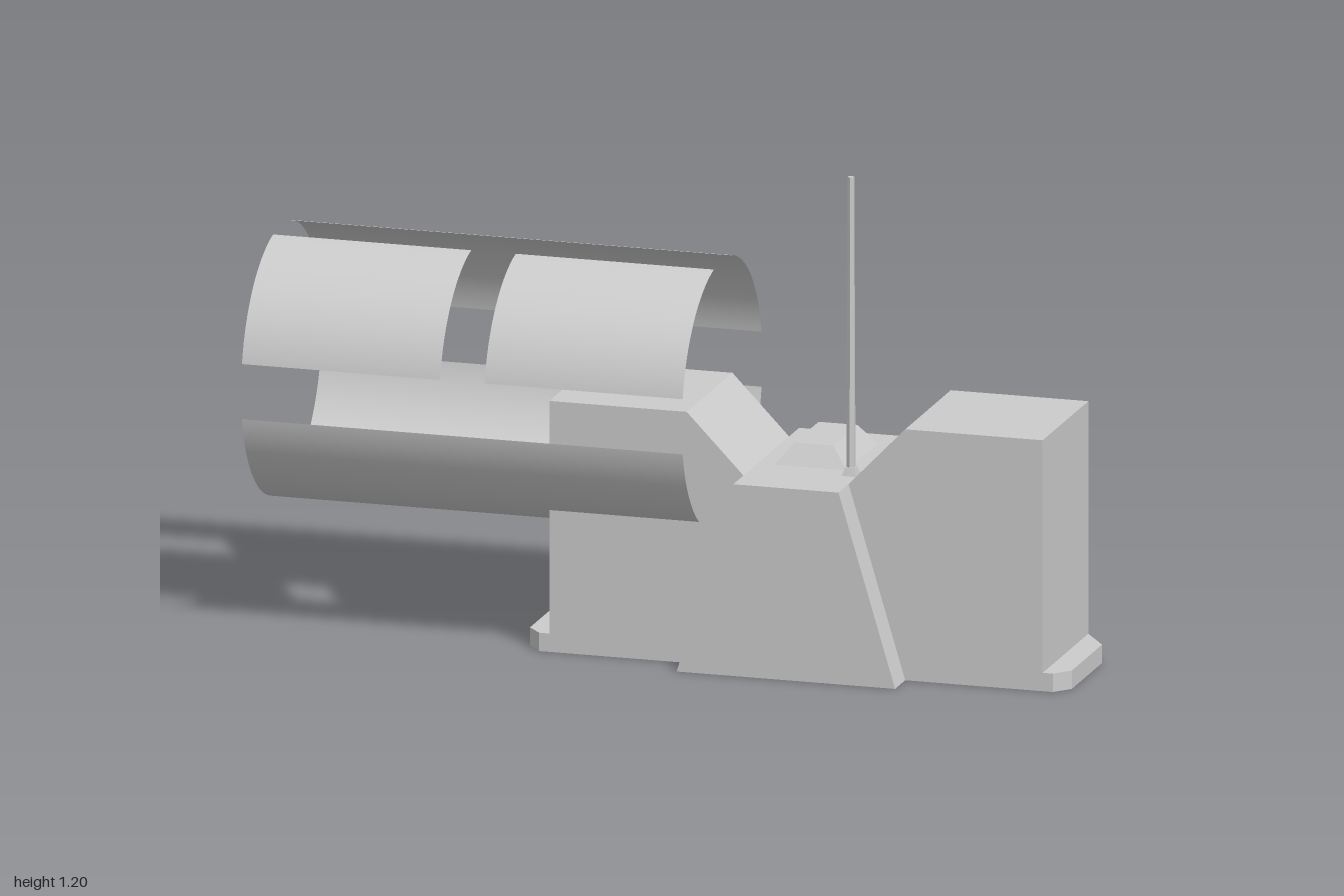
import * as THREE from 'three';
import { ConvexGeometry } from 'three/addons/geometries/ConvexGeometry.js';

const CX = 0.33; // x of the hull's centre line

export function createModel() {
  const model = new THREE.Group();
  const grey = new THREE.MeshStandardMaterial({ color: 0xcccccc, flatShading: true });
  const shellGrey = new THREE.MeshStandardMaterial({ color: 0xcccccc, side: THREE.DoubleSide });

  const add = (name, geometry, parent = model, material = grey) => {
    const mesh = new THREE.Mesh(geometry, material);
    mesh.name = name;
    parent.add(mesh);
    return mesh;
  };
  const group = (name) => {
    const g = new THREE.Group();
    g.name = name;
    model.add(g);
    return g;
  };
  // Outline extruded along z, with optional holes
  const slab = (points, z0, z1, holes = []) => {
    const vec = (list) => list.map(([x, y]) => new THREE.Vector2(x, y));
    const shape = new THREE.Shape(vec(points));
    holes.forEach((h) => shape.holes.push(new THREE.Path(vec(h))));
    return new THREE.ExtrudeGeometry(shape, { depth: z1 - z0, bevelEnabled: false }).translate(0, 0, z0);
  };
  const hull = (points) => new ConvexGeometry(points.map((p) => new THREE.Vector3(...p)));

  const hullGroup = group('hull');
  hullGroup.position.x = CX;

  // End blocks, mirrored, each with a recessed panel in the back and a chamfered foot
  const block = [[0.61, 0], [0.61, 0.615], [0.27, 0.615], [0.13, 0.47], [0.27, 0]];
  const recess = [[0.57, 0.045], [0.57, 0.575], [0.287, 0.575], [0.175, 0.459], [0.299, 0.045]];
  const foot = [[0.61, 0.185], [0.635, 0.185], [0.67, 0.145], [0.67, -0.1], [0.61, -0.185]];
  for (const s of [1, -1]) {
    const side = s > 0 ? 'left' : 'right';
    const flip = (list) => list.map(([x, y]) => [s * x, y]);
    add(side + 'Block', slab(flip(block), -0.145, 0.185), hullGroup);
    add(side + 'BackFrame', slab(flip(block), -0.185, -0.145, [flip(recess)]), hullGroup);
    add(side + 'Foot', slab(flip(foot), -0.045, 0).rotateX(Math.PI / 2), hullGroup);
  }

  // Tapered centre section with a sunken window at the back
  const taper = [[-0.27, 0], [0.27, 0], [0.13, 0.47], [-0.13, 0.47]];
  const window = [[-0.107, 0.3], [0.107, 0.3], [0.09, 0.44], [-0.09, 0.44]];
  add('centreSection', slab(taper, -0.24, 0.267), hullGroup);
  add('windowFrame', slab(taper, -0.267, -0.24, [window]), hullGroup);

  // Raised, bevelled door panel below the window
  const door = [];
  for (const s of [1, -1]) {
    door.push([s * 0.15, 0.065, -0.265], [s * 0.118, 0.275, -0.265]);
    door.push([s * 0.135, 0.077, -0.288], [s * 0.107, 0.263, -0.288]);
  }
  add('doorPanel', hull(door), hullGroup);

  // Roof hatch
  const hatch = [];
  for (const s of [1, -1]) {
    for (const t of [1, -1]) {
      hatch.push([s * 0.093, 0.465, -0.058 + t * 0.13], [s * 0.048, 0.52, -0.058 + t * 0.098]);
    }
  }
  add('roofHatch', hull(hatch), hullGroup);

  // Antenna on a small mount
  const antenna = group('antenna');
  antenna.position.set(0.441, 0.47, 0.103);
  add('antennaMount', new THREE.CylinderGeometry(0.017, 0.025, 0.02, 4, 1)
    .rotateY(Math.PI / 4).translate(0, 0.01, 0), antenna);
  add('antennaPole', new THREE.CylinderGeometry(0.008, 0.011, 0.725, 6).translate(0, 0.3675, 0), antenna);

  // Four thin curved shells around a common axis; the upper front one is split by a gap
  const shells = group('shells');
  shells.position.set(0, 0.615, -0.003);
  const gapAngle = 0.208;
  const names = ['upperFrontShell', 'upperBackShell', 'lowerBackShell', 'lowerFrontShell'];
  names.forEach((name, q) => {
    const spans = q === 0 ? [[-1, -0.51], [-0.4, 0.09]] : [[-1, 0.09]];
    for (const [x0, x1] of spans) {
      const arc = new THREE.CylinderGeometry(0.327, 0.327, x1 - x0, 16, 1, true,
        q * Math.PI / 2 + gapAngle, Math.PI / 2 - 2 * gapAngle);
      add(name, arc.rotateZ(Math.PI / 2).translate((x0 + x1) / 2, 0, 0), shells, shellGrey);
    }
  });

  return model;
}
